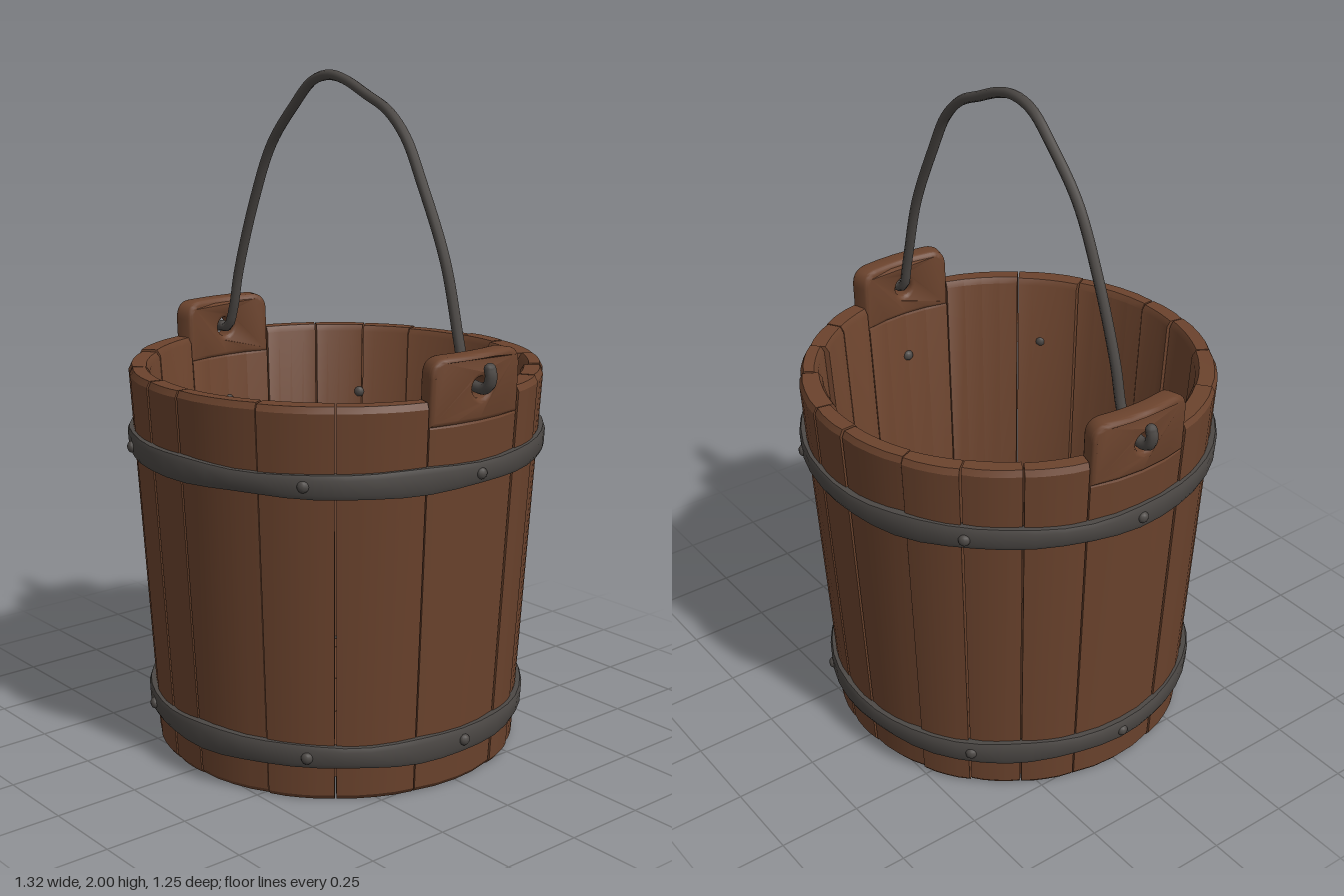
import * as THREE from 'three';
import { toCreasedNormals } from 'three/addons/utils/BufferGeometryUtils.js';

const wood = new THREE.MeshStandardMaterial({ color: 0x6b432d });
wood.name = 'brown wood';
const iron = new THREE.MeshStandardMaterial({ color: 0x4c4845 });
iron.name = 'dark iron';

const RIM = 1.16;
const THICK = 0.062;
const rad = THREE.MathUtils.degToRad;

// Outer wall radius: the bucket widens towards the rim
const wallRadius = (y) => 0.545 + 0.07 * Math.min(y, RIM) / RIM;

let seed = 7;
function rand() {
  seed = (seed * 16807) % 2147483647;
  return seed / 2147483647;
}

function add(parent, name, geometry, material) {
  const mesh = new THREE.Mesh(geometry, material);
  mesh.name = name;
  parent.add(mesh);
  return mesh;
}

// Rewrite every vertex by a rule
function warp(geometry, rule) {
  const p = geometry.attributes.position;
  const v = new THREE.Vector3();
  for (let i = 0; i < p.count; i++) {
    rule(v.fromBufferAttribute(p, i));
    p.setXYZ(i, v.x, v.y, v.z);
  }
  return geometry;
}

// Turn (angle, height, radius) into a point on the bucket
const bend = (v, angle, radius) => v.set(Math.sin(angle) * radius, v.y, Math.cos(angle) * radius);

// One curved stave between two angles, with softened ends
function staveGeometry(a0, a1, height, jitter) {
  const rows = [0, 0.014, height - 0.018, height];
  const gap = 0.004;
  const outer = (rand() - 0.5) * jitter;
  const inner = (rand() - 0.5) * jitter * 2;
  const twist = (rand() - 0.5) * jitter * 2;
  const geo = warp(new THREE.BoxGeometry(1, 1, 1, 4, 3, 1), (v) => {
    const row = Math.round((v.y + 0.5) * 3);
    const inset = row === 0 || row === 3 ? 0.01 : 0;
    const y = rows[row];
    const edge = Math.abs(v.x) > 0.49 ? 0.003 : 0;
    const r = v.z > 0
      ? wallRadius(y) + outer - inset - edge
      : wallRadius(y) - THICK + inner + twist * v.x + inset;
    const angle = THREE.MathUtils.lerp(a0 + gap, a1 - gap, v.x + 0.5);
    v.y = y;
    bend(v, angle, r);
  });
  return toCreasedNormals(geo, 0.5);
}

// Raised, pierced ear that carries the bail
function earGeometry() {
  const w = 0.165, y0 = 1.08, y1 = 1.27, c = 0.055;
  const shape = new THREE.Shape();
  shape.moveTo(-w, y0);
  for (const x of [-0.08, 0, 0.08, w]) shape.lineTo(x, y0);
  shape.lineTo(w, y1 - c);
  shape.quadraticCurveTo(w, y1, w - c, y1);
  for (const x of [0.05, 0, -0.05, -w + c]) shape.lineTo(x, y1);
  shape.quadraticCurveTo(-w, y1, -w, y1 - c);
  shape.closePath();
  const hole = new THREE.Path();
  hole.absarc(0, 1.175, 0.03, 0, Math.PI * 2, true);
  shape.holes.push(hole);
  const bevel = 0.014;
  const geo = new THREE.ExtrudeGeometry(shape, {
    depth: 0.066 - bevel * 2, bevelEnabled: true, bevelSize: bevel, bevelThickness: bevel,
    bevelOffset: -bevel, bevelSegments: 3, curveSegments: 8,
  });
  warp(geo, (v) => bend(v, v.x / 0.6, wallRadius(v.y) - 0.05 + v.z));
  return toCreasedNormals(geo, 0.6);
}

// Slightly hammered iron band
function hoopGeometry(y, height, phase) {
  const profile = [[-0.01, -0.5], [0.014, -0.5], [0.02, -0.3], [0.02, 0.3], [0.014, 0.5], [-0.01, 0.5], [-0.01, -0.5]]
    .map(([r, h]) => new THREE.Vector2(wallRadius(y + h * height) + r, h * height));
  const geo = warp(new THREE.LatheGeometry(profile, 48), (v) => {
    const a = Math.atan2(v.x, v.z);
    const swell = 1 + 0.1 * Math.sin(5 * a + phase) + 0.05 * Math.sin(11 * a);
    const bulge = 1 + 0.004 * Math.sin(7 * a + phase);
    v.set(v.x * bulge, y + v.y * swell + 0.003 * Math.sin(3 * a + phase), v.z * bulge);
  });
  return toCreasedNormals(geo, 0.7);
}

// Floor plank: a slice of the disc between two x positions
function plankGeometry(x0, x1, radius) {
  const at = (x) => Math.sqrt(Math.max(0, radius * radius - x * x));
  const n = 8;
  const points = [];
  for (let i = 0; i <= n; i++) {
    const x = THREE.MathUtils.lerp(x0, x1, i / n);
    points.push(new THREE.Vector2(x, -at(x)));
  }
  for (let i = n; i >= 0; i--) {
    const x = THREE.MathUtils.lerp(x0, x1, i / n);
    points.push(new THREE.Vector2(x, at(x) + 0.0001));
  }
  const geo = new THREE.ExtrudeGeometry(new THREE.Shape(points), { depth: 0.04, bevelEnabled: false });
  return geo.rotateX(-Math.PI / 2);
}

export function createModel() {
  const bucket = new THREE.Group();
  bucket.name = 'bucket';

  // Staves, front then back, between the two ear staves
  const staves = new THREE.Group();
  staves.name = 'staves';
  bucket.add(staves);
  const earHalf = 15.8;
  const front = [-74.2, -52, -30, -10, 4, 29.5, 50, 74.2];
  const back = [105.8, 120, 134, 150, 170, 184, 205, 221, 237, 254.2];
  for (const edges of [front, back]) {
    for (let i = 0; i < edges.length - 1; i++) {
      const height = RIM - rand() * 0.008;
      add(staves, 'stave', staveGeometry(rad(edges[i]), rad(edges[i + 1]), height, 0.008), wood);
    }
  }

  // Ear staves on both sides
  for (const angle of [90, -90]) {
    const side = angle > 0 ? 'left' : 'right';
    add(staves, side + 'EarStave', staveGeometry(rad(angle - earHalf), rad(angle + earHalf), 1.095, 0), wood);
    add(staves, side + 'Ear', earGeometry(), wood).rotation.y = rad(angle);
  }

  // Planked floor with a thin iron ring around it
  const floor = new THREE.Group();
  floor.name = 'floor';
  floor.position.y = 0.05;
  bucket.add(floor);
  const seams = [-0.5, -0.31, -0.1, 0.1, 0.31, 0.5];
  for (let i = 0; i < 5; i++) {
    add(floor, 'floorPlank', plankGeometry(seams[i] + 0.0015, seams[i + 1] - 0.0015, 0.5), wood);
  }
  const ring = add(floor, 'floorRing', new THREE.TorusGeometry(0.487, 0.006, 6, 48), iron);
  ring.rotation.x = Math.PI / 2;
  ring.position.y = 0.042;

  // Hoops and their rivets, which show on both sides of the wall
  const rivetGeo = new THREE.SphereGeometry(0.017, 10, 8);
  [['lowerHoop', 0.137, 0.07, 0.4], ['upperHoop', 0.937, 0.068, 2.1]].forEach(([name, y, height, phase]) => {
    add(bucket, name, hoopGeometry(y, height, phase), iron);
    for (const angle of [42, 90, 157, 222, 270, 338]) {
      for (const offset of [0.02, -THICK]) {
        const rivet = add(bucket, 'rivet', rivetGeo, iron);
        const r = wallRadius(y) + offset;
        rivet.position.set(Math.sin(rad(angle)) * r, y, Math.cos(rad(angle)) * r);
        rivet.rotation.y = rad(angle);
        rivet.scale.z = 0.75;
      }
    }
  });

  // Bent iron bail running through both ears
  const tube = (name, points, radius, segments) => {
    const path = new THREE.CatmullRomCurve3(points.map(([x, y]) => new THREE.Vector3(x, y, -0.004)));
    add(bucket, name, new THREE.TubeGeometry(path, segments, radius, 8), iron);
    for (const [x, y] of [points[0], points[points.length - 1]]) {
      add(bucket, name + 'Tip', new THREE.SphereGeometry(radius, 8, 6), iron).position.set(x, y, -0.004);
    }
  };
  tube('bail', [
    [-0.6, 1.172], [-0.545, 1.178], [-0.515, 1.24], [-0.485, 1.36], [-0.4, 1.59], [-0.31, 1.77], [-0.2, 1.89],
    [-0.11, 1.967], [-0.03, 1.985], [0.04, 1.972], [0.13, 1.935], [0.22, 1.895], [0.295, 1.825],
    [0.36, 1.71], [0.46, 1.5], [0.52, 1.28], [0.548, 1.185], [0.6, 1.172],
  ], 0.015, 90);
  for (const s of [1, -1]) {
    tube(s > 0 ? 'leftHook' : 'rightHook',
      [[s * 0.57, 1.176], [s * 0.615, 1.172], [s * 0.638, 1.185], [s * 0.645, 1.21], [s * 0.64, 1.23]], 0.017, 16);
  }

  return bucket;
}
